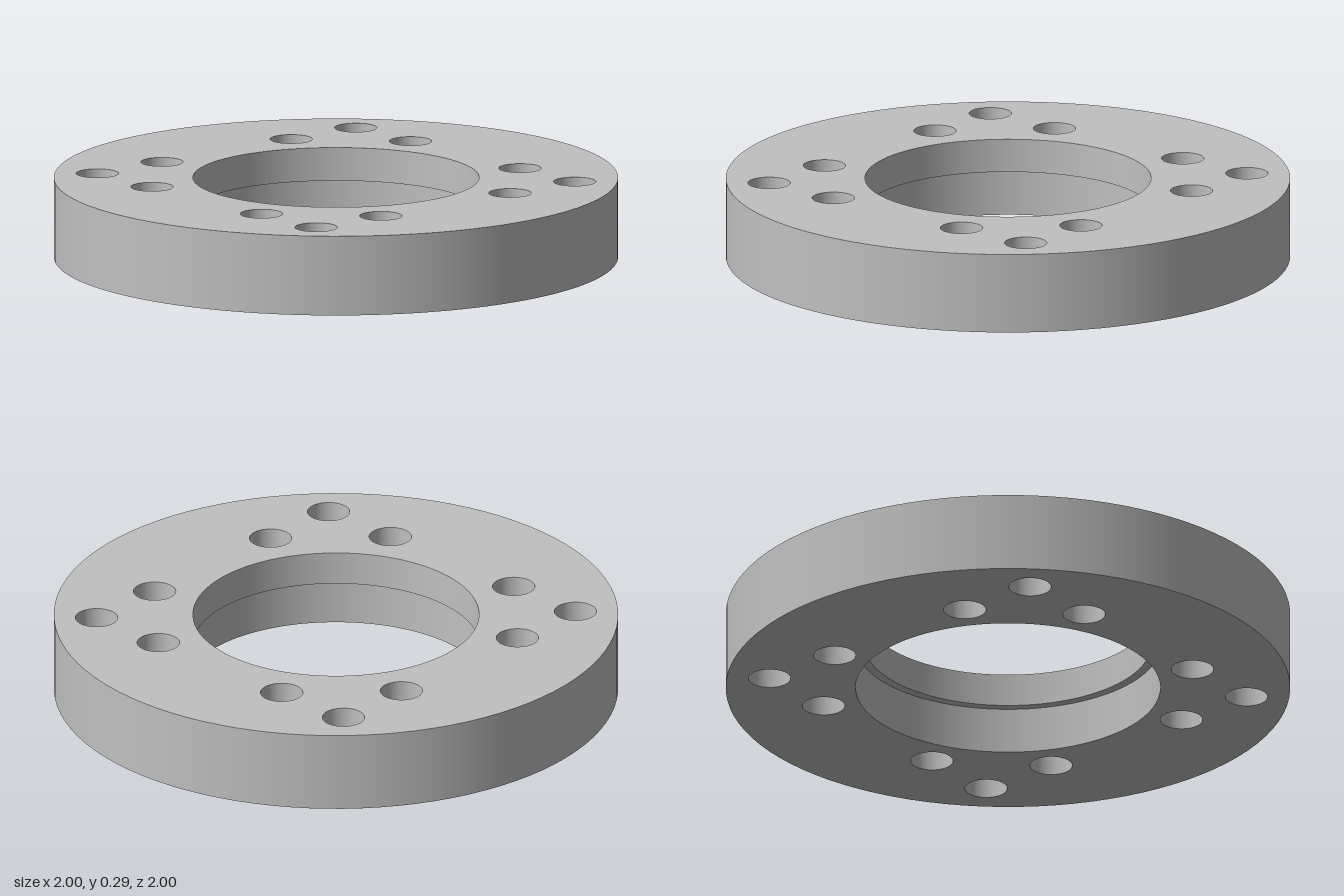
import * as THREE from 'three';

const HEIGHT = 0.287, LEDGE = 0.167;
const OUTER = 1, BORE = 0.507, RECESS = 0.54, BOLT = 0.075;
const SEGMENTS = 96;

// Bolt holes: a corner hole and its two neighbours, mirrored to four corners
const boltCentres = [];
for (const sx of [-1, 1]) for (const sz of [-1, 1])
  for (const [x, z] of [[0.6, 0.6], [0.3, 0.6], [0.6, 0.3]])
    boltCentres.push([sx * x, sz * z]);

// Flat annulus pierced by the bolt holes
function capGeometry(innerRadius) {
  const shape = new THREE.Shape().absarc(0, 0, OUTER, 0, Math.PI * 2);
  const cut = (x, y, r) =>
    shape.holes.push(new THREE.Path().absarc(x, y, r, 0, Math.PI * 2, true));
  cut(0, 0, innerRadius);
  for (const [x, z] of boltCentres) cut(x, z, BOLT);
  return new THREE.ShapeGeometry(shape, SEGMENTS / 2);
}

// Revolved strip: an upward profile faces out, a downward one faces in
function strip(r0, y0, r1, y1) {
  return new THREE.LatheGeometry(
    [new THREE.Vector2(r0, y0), new THREE.Vector2(r1, y1)], SEGMENTS);
}

export function createModel() {
  const metal = new THREE.MeshStandardMaterial({ color: 0xc0c0c0 });
  metal.name = 'grey metal';

  const group = new THREE.Group();
  group.name = 'flangeRing';
  const add = (name, geometry) => {
    const mesh = new THREE.Mesh(geometry, metal);
    mesh.name = name;
    group.add(mesh);
    return mesh;
  };

  // Faces
  add('topFace', capGeometry(BORE).rotateX(-Math.PI / 2)).position.y = HEIGHT;
  add('bottomFace', capGeometry(RECESS).rotateX(Math.PI / 2));

  // Rim and stepped bore
  add('outerRim', strip(OUTER, 0, OUTER, HEIGHT));
  add('upperBore', strip(BORE, HEIGHT, BORE, LEDGE));
  add('boreLedge', strip(BORE, LEDGE, RECESS, LEDGE));
  add('lowerRecess', strip(RECESS, LEDGE, RECESS, 0));

  // Bolt hole walls
  const boltWall = strip(BOLT, HEIGHT, BOLT, 0);
  for (const [x, z] of boltCentres) add('boltHole', boltWall).position.set(x, 0, z);

  return group;
}
